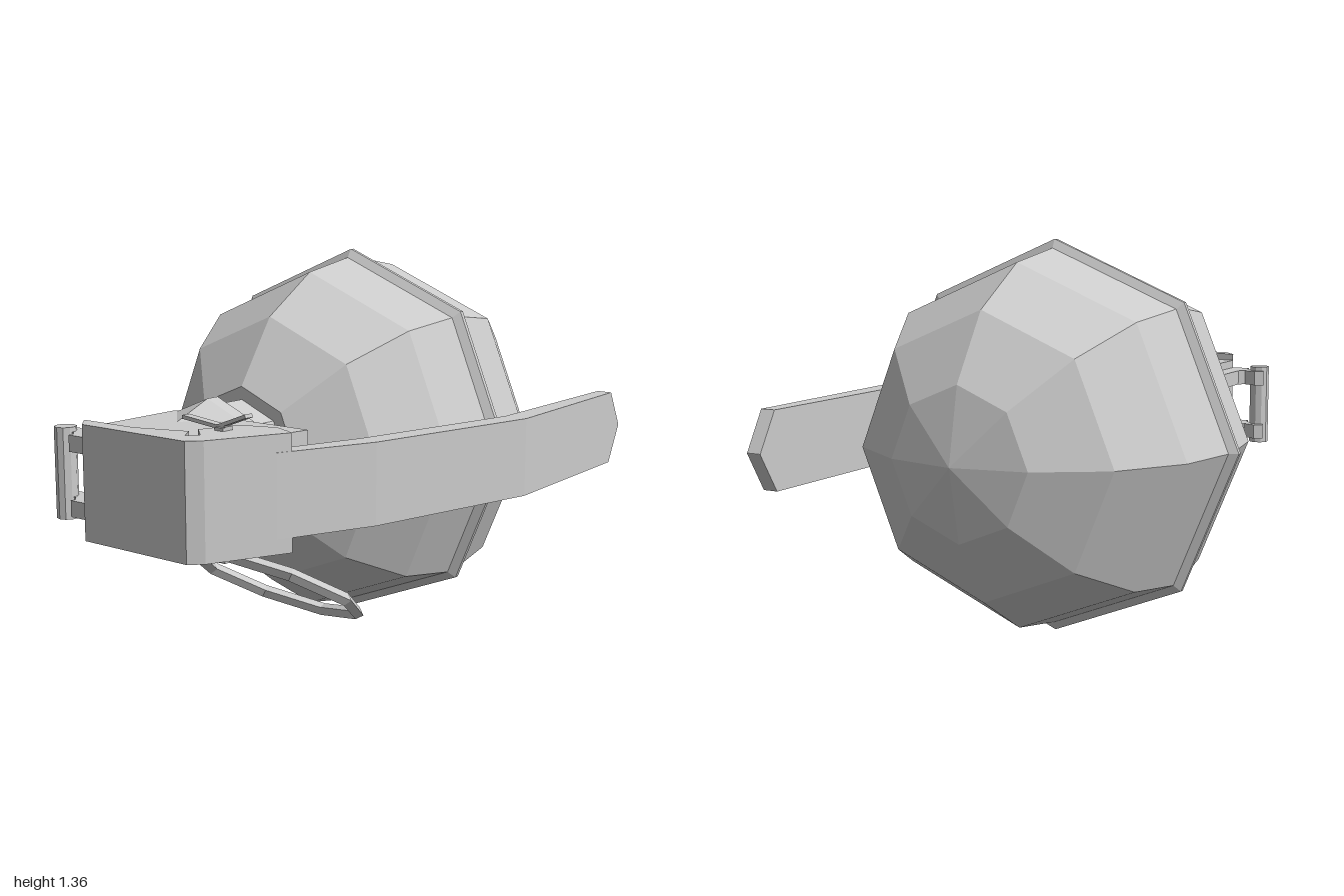
import * as THREE from 'three';

const mat = new THREE.MeshStandardMaterial({ color: 0xcccccc, flatShading: true, side: THREE.DoubleSide });
const CX = -0.045, CY = 0.683; // axis of the round body, running along z

export function createModel() {
  const group = new THREE.Group();

  const add = (name, geometry, x = 0, y = 0, z = 0) => {
    const mesh = new THREE.Mesh(geometry, mat);
    mesh.name = name;
    mesh.position.set(x, y, z);
    group.add(mesh);
    return mesh;
  };

  // Octagonal turned part along z, from [radius, z] pairs
  const turned = (name, profile) => {
    const g = new THREE.LatheGeometry(profile.map(p => new THREE.Vector2(p[0], p[1])), 8);
    return add(name, g.rotateX(Math.PI / 2), CX, CY, 0);
  };

  // Horizontal plate from an [x, z] outline between two heights
  const slab = (name, outline, y0, y1) => {
    const shape = new THREE.Shape(outline.map(p => new THREE.Vector2(p[0], -p[1])));
    const g = new THREE.ExtrudeGeometry(shape, { depth: y1 - y0, bevelEnabled: false });
    return add(name, g.rotateX(-Math.PI / 2), 0, y0, 0);
  };

  // Straight square bar between two points
  const bar = (name, a, b, w, h) => {
    const from = new THREE.Vector3(...a), to = new THREE.Vector3(...b);
    const mesh = add(name, new THREE.BoxGeometry(w, h, from.distanceTo(to)));
    mesh.position.copy(from).add(to).multiplyScalar(0.5);
    mesh.lookAt(to);
    return mesh;
  };

  // Round body with a raised seam round the middle
  turned('body', [
    [0, -0.91], [0.25, -0.86], [0.47, -0.72], [0.61, -0.5], [0.65, -0.27], [0.68, -0.255],
    [0.68, -0.24], [0.65, -0.22], [0.61, 0], [0.47, 0.22], [0.245, 0.37], [0, 0.37],
  ]);

  // Neck, collar and tapering fuse socket
  turned('neck', [[0.2, 0.36], [0.2, 0.5]]);
  turned('collar', [[0, 0.49], [0.225, 0.49], [0.225, 0.54], [0.165, 0.69], [0, 0.69]]);

  // Fuse head block
  slab('fuseHead', [
    [-0.205, 0.53], [0.375, 0.53], [0.35, 0.66], [0.41, 0.7], [0.3, 0.96], [0.27, 0.98], [-0.15, 0.98], [-0.205, 0.94],
  ], 0.525, 0.85);

  // Hinge: flanges on the head, arms and the hinge pin
  for (const y of [0.55, 0.765]) {
    slab('hingeFlange', [[-0.27, 0.53], [-0.15, 0.53], [-0.15, 0.95], [-0.27, 0.95]], y, y + 0.055);
    slab('hingeArm', [
      [-0.37, 0.86], [-0.34, 0.84], [-0.29, 0.86], [-0.24, 0.81], [-0.2, 0.95], [-0.26, 0.94], [-0.29, 0.91], [-0.35, 0.9],
    ], y, y + 0.055);
  }
  add('hingePin', new THREE.CylinderGeometry(0.037, 0.037, 0.305, 10), -0.335, CY, 0.905);

  // Lever cap: front wall with a folded flange above and below
  slab('leverCapWall', [
    [-0.15, 0.97], [-0.15, 1], [0.29, 1], [0.33, 0.96], [0.45, 0.7], [0.41, 0.68], [0.3, 0.93], [0.27, 0.97],
  ], 0.5, 0.875);
  const flange = [
    [-0.205, 0.94], [0.01, 0.935], [0.19, 0.875], [0.23, 0.935], [0.26, 0.9], [0.19, 0.835], [0.24, 0.7],
    [0.36, 0.66], [0.45, 0.7], [0.33, 0.96], [0.29, 1], [-0.15, 1],
  ];
  for (const y of [0.5, 0.85]) slab('leverCapFlange', flange, y, y + 0.025);

  // Long bent lever: [inner x, inner z, outer x, outer z, half height] from the tip forward
  const stations = [
    [0.62, -1, 0.675, -1, 0.001], [0.624, -0.92, 0.68, -0.92, 0.135], [0.635, -0.23, 0.717, -0.23, 0.135],
    [0.49, 0.4, 0.565, 0.425, 0.135], [0.4, 0.66, 0.43, 0.75, 0.135],
  ];
  const n = stations.length - 1;
  const lever = new THREE.BoxGeometry(1, 1, 1, 1, 1, n);
  const pos = lever.attributes.position;
  for (let i = 0; i < pos.count; i++) {
    const [ix, iz, ox, oz, half] = stations[Math.round((pos.getZ(i) + 0.5) * n)];
    const outer = pos.getX(i) > 0;
    pos.setXYZ(i, outer ? ox : ix, CY + Math.sign(pos.getY(i)) * half, outer ? oz : iz);
  }
  lever.computeVertexNormals();
  add('lever', lever);

  // Safety pin with its split ends bent apart on top
  bar('safetyPin', [0.26, 0.46, 0.8], [0.26, 0.885, 0.8], 0.035, 0.035);
  bar('pinEnd', [0.28, 0.882, 0.795], [0.08, 0.895, 0.775], 0.03, 0.012);
  bar('pinEnd', [0.23, 0.88, 0.79], [0.37, 0.932, 0.805], 0.03, 0.012);

  // Eight-sided pull ring hanging under the head
  const ring = add('pullRing', new THREE.TorusGeometry(0.283, 0.021, 4, 8), 0.26, 0.333, 0.55);
  ring.rotation.x = 1.02;

  return group;
}
